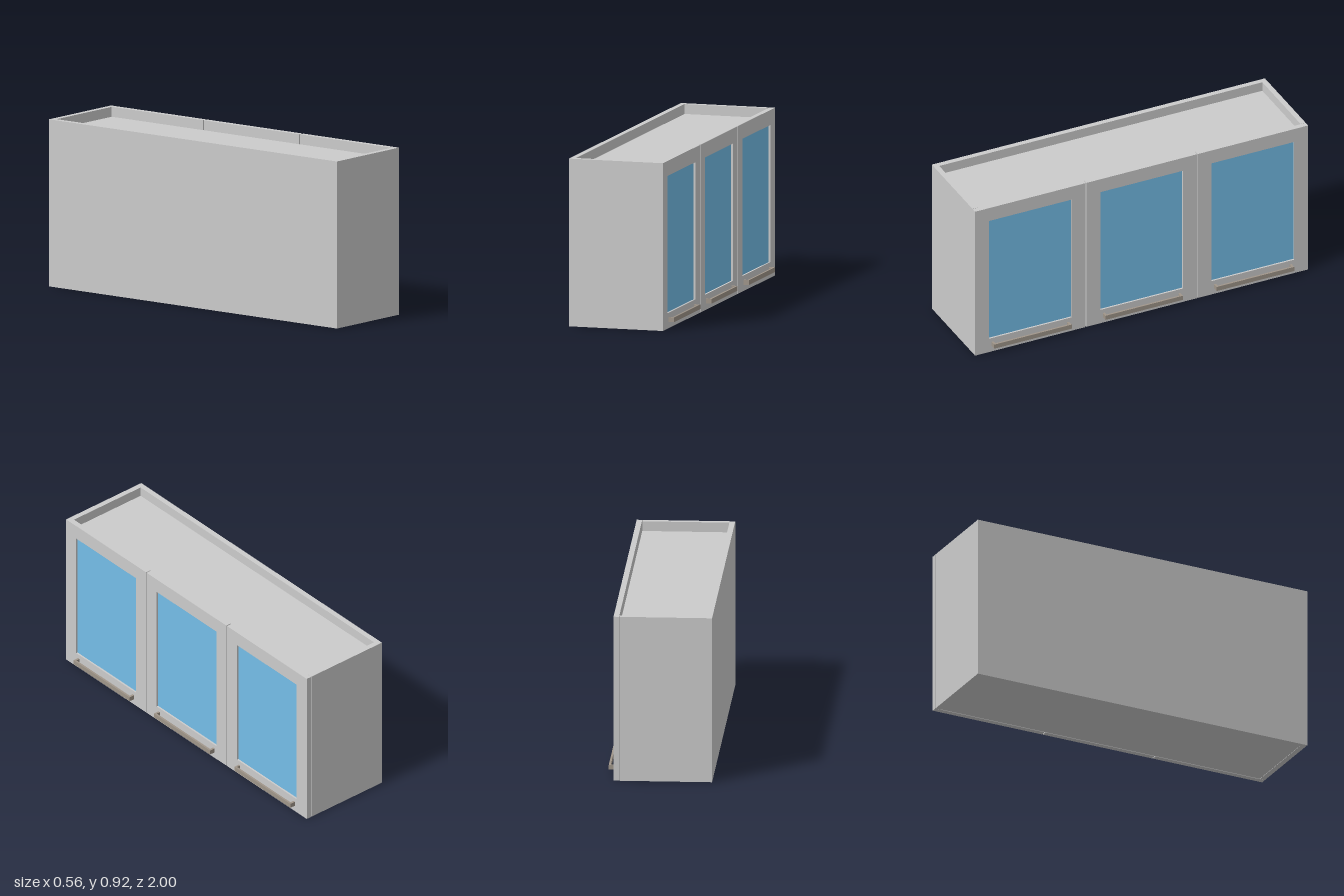
import * as THREE from 'three';

const grey = new THREE.MeshStandardMaterial({ color: 0xcccccc });
const glassMat = new THREE.MeshStandardMaterial({ color: 0x74bde8 });
const handleMat = new THREE.MeshStandardMaterial({ color: 0xa0968a });

// Box given by its min and max corners
function box(name, mat, [x0, y0, z0], [x1, y1, z1]) {
  const mesh = new THREE.Mesh(new THREE.BoxGeometry(x1 - x0, y1 - y0, z1 - z0), mat);
  mesh.position.set((x0 + x1) / 2, (y0 + y1) / 2, (z0 + z1) / 2);
  mesh.name = name;
  return mesh;
}

const H = 0.917, BACK = -0.283, FRONT = 0.218, T = 0.03;

// Door facing +x: frame with a window, glass pane and bar handle
function makeDoor(z0, z1, zMid) {
  const door = new THREE.Group();
  door.name = 'door';

  const rect = (path, a0, b0, a1, b1) =>
    path.moveTo(a0, b0).lineTo(a1, b0).lineTo(a1, b1).lineTo(a0, b1).closePath();
  const w = 0.248, y0 = 0.085, y1 = 0.835;
  // Shape x runs along -z after the quarter turn
  const shape = new THREE.Shape();
  rect(shape, -z1, 0, -z0, H);
  const hole = new THREE.Path();
  rect(hole, -zMid - w, y0, -zMid + w, y1);
  shape.holes.push(hole);
  const frame = new THREE.Mesh(
    new THREE.ExtrudeGeometry(shape, { depth: 0.03, bevelEnabled: false }), grey);
  frame.rotation.y = Math.PI / 2;
  frame.position.x = 0.22;
  frame.name = 'doorFrame';
  door.add(frame);

  door.add(box('glassPane', glassMat, [0.23, y0, zMid - w], [0.24, y1, zMid + w]));

  const handle = new THREE.Group();
  handle.name = 'handle';
  const h = 0.233;
  handle.add(box('handleBar', handleMat, [0.271, 0.035, zMid - h], [0.282, 0.061, zMid + h]));
  for (const s of [-1, 1]) {
    const c = zMid + s * (h - 0.006);
    handle.add(box('handlePost', handleMat, [0.25, 0.035, c - 0.006], [0.271, 0.061, c + 0.006]));
  }
  door.add(handle);
  return door;
}

export function createModel() {
  const model = new THREE.Group();
  model.name = 'wallCabinet';

  // Carcass: back, ends, bottom and sunken top
  model.add(box('backPanel', grey, [BACK, 0, -1 + T], [BACK + T, H, 1 - T]));
  model.add(box('leftEnd', grey, [BACK, 0, 1 - T], [FRONT, H, 1]));
  model.add(box('rightEnd', grey, [BACK, 0, -1], [FRONT, H, -1 + T]));
  model.add(box('bottomPanel', grey, [BACK + T, 0.002, -1 + T], [FRONT, T, 1 - T]));
  model.add(box('topPanel', grey, [BACK + T, 0.833, -1 + T], [FRONT, 0.863, 1 - T]));

  // Three doors
  model.add(makeDoor(0.336, 1, 0.668));
  model.add(makeDoor(-0.331, 0.331, 0));
  model.add(makeDoor(-1, -0.336, -0.668));
  return model;
}
